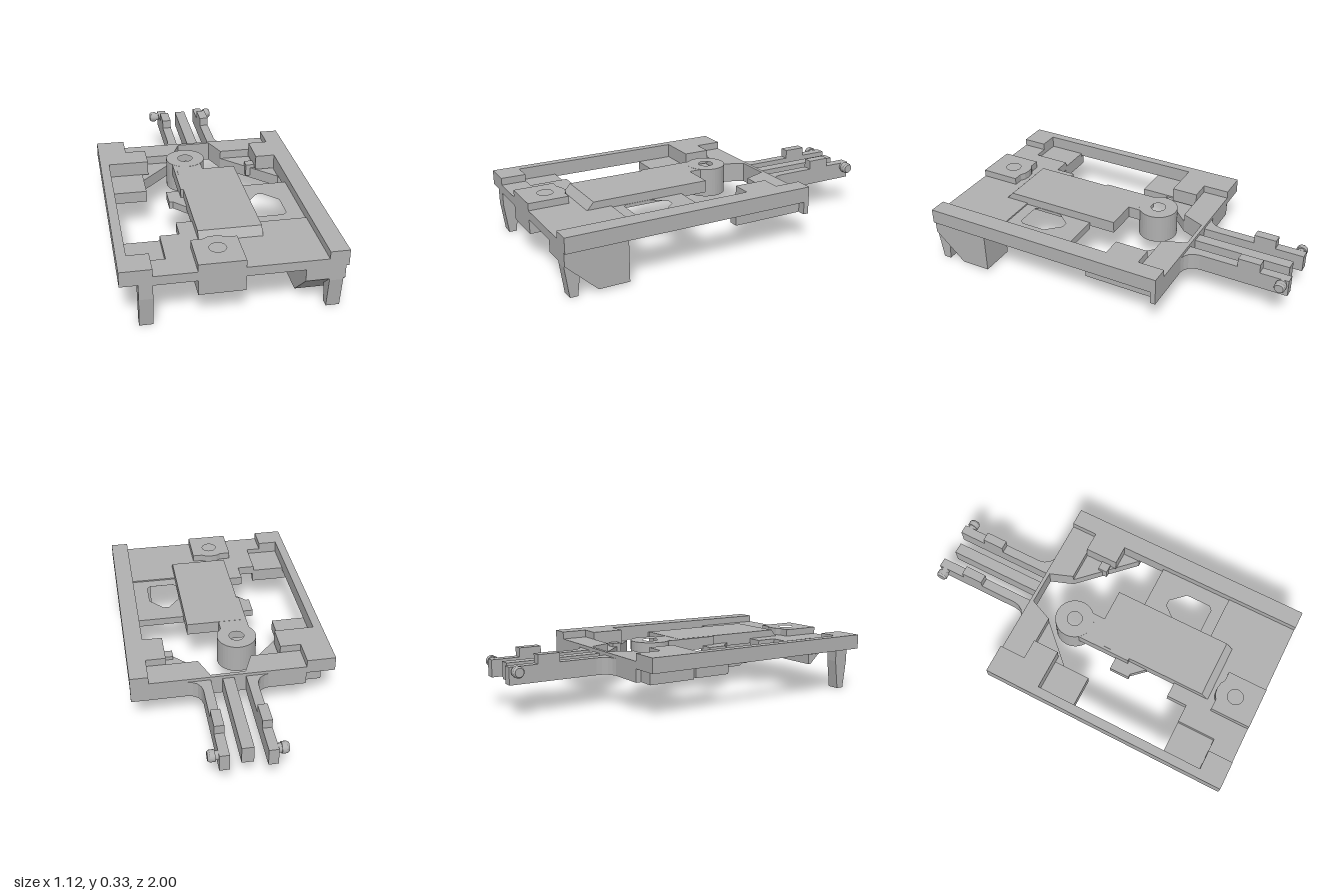
import * as THREE from 'three';

export function createModel() {
  const model = new THREE.Group();
  const grey = new THREE.MeshStandardMaterial({ color: 0xb0b0b0 });
  grey.name = 'plain grey';

  function add(name, geometry) {
    const mesh = new THREE.Mesh(geometry, grey);
    mesh.name = name;
    model.add(mesh);
    return mesh;
  }
  const box = (name, x0, x1, y0, y1, z0, z1) =>
    add(name, new THREE.BoxGeometry(x1 - x0, y1 - y0, z1 - z0)
      .translate((x0 + x1) / 2, (y0 + y1) / 2, (z0 + z1) / 2));
  const flat = pts => pts.map(([x, z]) => new THREE.Vector2(x, -z));
  const circle = (cx, cz, r) => Array.from({ length: 40 }, (_, i) => {
    const a = i / 40 * Math.PI * 2;
    return [cx + r * Math.cos(a), cz + r * Math.sin(a)];
  });
  // plan outline of (x, z) points raised from y0 to y1
  function slab(name, pts, y0, y1, holes = []) {
    const shape = new THREE.Shape(flat(pts));
    holes.forEach(h => shape.holes.push(new THREE.Path(flat(h))));
    const g = new THREE.ExtrudeGeometry(shape, { depth: y1 - y0, bevelEnabled: false });
    return add(name, g.rotateX(-Math.PI / 2).translate(0, y0, 0));
  }
  // side outline of (z, y) points swept from x0 to x1
  function profile(name, pts, x0, x1) {
    const shape = new THREE.Shape(pts.map(([z, y]) => new THREE.Vector2(-z, y)));
    const g = new THREE.ExtrudeGeometry(shape, { depth: x1 - x0, bevelEnabled: false });
    return add(name, g.rotateY(Math.PI / 2).translate(x0, 0, 0));
  }

  // raised side rails with their rear and front corner blocks
  slab('rightRail', [[-0.56, -0.42], [-0.4, -0.42], [-0.4, -0.27], [-0.285, -0.27], [-0.285, -0.12],
    [-0.51, -0.12], [-0.51, 0.86], [-0.4, 0.86], [-0.4, 1], [-0.56, 1]], 0.248, 0.33);
  slab('leftRail', [[0.46, -0.42], [0.56, -0.42], [0.56, 1], [0.46, 1], [0.46, -0.08],
    [0.35, -0.08], [0.35, -0.27], [0.46, -0.27]], 0.245, 0.33);

  // front floor, open under the tongue and at the corner pocket
  slab('frontFloor', [[-0.4, 1], [-0.4, 0.86], [-0.32, 0.86], [-0.32, 0.645], [-0.22, 0.645],
    [-0.22, 0.53], [-0.135, 0.53], [-0.135, 0.735], [0.195, 0.735], [0.195, 0.595],
    [0.46, 0.595], [0.46, 1]], 0.24, 0.29);
  box('cornerPocket', -0.51, -0.32, 0.238, 0.262, 0.645, 0.86);
  profile('pocketWedge', [[0.645, 0.185], [0.66, 0.185], [0.72, 0.24], [0.645, 0.24]], -0.53, -0.315);
  slab('sideFloor', [[0.195, 0.175], [0.46, 0.175], [0.46, 0.595], [0.195, 0.595]], 0.24, 0.282,
    [[[0.198, 0.37], [0.265, 0.29], [0.3, 0.29], [0.375, 0.37], [0.375, 0.51], [0.355, 0.53],
      [0.215, 0.53], [0.198, 0.51]]]);
  slab('sideTab', [[-0.22, 0.175], [-0.13, 0.175], [-0.13, 0.365], [-0.2, 0.29], [-0.22, 0.29]], 0.24, 0.28);

  // central tongue with sloped tip, neck and ring
  profile('tongue', [[0.02, 0.262], [0.735, 0.262], [0.735, 0.285], [0.695, 0.33], [0.02, 0.33]], -0.135, 0.195);
  slab('neck', [[-0.15, -0.06], [-0.09, -0.06], [-0.04, -0.06], [0.012, -0.06], [0.012, 0.03],
    [-0.13, 0.25], [-0.15, 0.25]], 0.262, 0.329);
  slab('ring', circle(-0.065, -0.13, 0.11), 0.165, 0.33, [circle(-0.065, -0.13, 0.042)]);

  // front boss with a blind hole
  const boss = [[-0.185, 1], [-0.185, 0.775], [-0.125, 0.775], [-0.1, 0.76], [-0.065, 0.755],
    [-0.03, 0.76], [-0.005, 0.775], [0.05, 0.775], [0.05, 1]];
  slab('bossTop', boss, 0.24, 0.33, [circle(-0.065, 0.865, 0.043)]);
  slab('bossBase', boss, 0.16, 0.24);

  // rear cross plate and the lower diagonal braces
  slab('rearPlate', [[-0.4, -0.42], [0.46, -0.42], [0.46, -0.27], [0.175, -0.27], [0.127, -0.4],
    [-0.065, -0.4], [-0.12, -0.27], [-0.4, -0.27]], 0.175, 0.288);
  slab('rightBrace', [[-0.4, -0.27], [-0.12, -0.27], [-0.4, 0.02]], 0.175, 0.24);
  slab('leftBrace', [[0.46, -0.27], [0.46, 0.02], [0.175, -0.27]], 0.175, 0.24);
  box('rightLowerBlock', -0.49, -0.4, 0.175, 0.25, -0.39, -0.12);
  box('rightInnerBlock', -0.51, -0.32, 0.185, 0.25, -0.12, 0.09);
  box('leftLowerBlock', 0.46, 0.515, 0.175, 0.246, -0.42, 0.02);
  box('leftRearFoot', 0.515, 0.56, 0.175, 0.246, -0.42, -0.39);
  box('smallCatch', 0.3, 0.35, 0.19, 0.26, -0.17, -0.115);

  // rear forks with filleted roots, raised steps and pins
  for (const s of [-1, 1]) {
    const mid = 0.0315;
    const root = [[0.148, -0.5], [0.154, -0.47], [0.17, -0.443], [0.195, -0.427], [0.22, -0.42]];
    const outline = [[0.096, -0.4], [0.096, -1], [0.148, -1], ...root, [0.22, -0.4]]
      .map(([x, z]) => [mid + s * x, z]);
    slab('forkArm', outline, 0.175, 0.27);
    const step = [mid + s * 0.096, mid + s * 0.148].sort((a, b) => a - b);
    box('forkStep', ...step, 0.27, 0.32, -0.84, -0.715);
    const pin = new THREE.LatheGeometry([[0, 0], [0.024, 0], [0.024, 0.018], [0.031, 0.018],
      [0.031, 0.045], [0.024, 0.056], [0, 0.056]].map(p => new THREE.Vector2(...p)), 24).toNonIndexed();
    pin.computeVertexNormals();
    add('forkPin', pin.rotateZ(-s * Math.PI / 2).translate(mid + s * 0.147, 0.247, -0.965));
  }
  box('centreBar', 0, 0.063, 0.175, 0.27, -0.965, -0.41);

  // front legs: tapered pegs, and one with a chamfered body
  const peg = [[0.935, 0], [0.978, 0], [1, 0.165], [1, 0.25], [0.915, 0.25], [0.915, 0.165]];
  profile('rightPeg', peg, -0.47, -0.4);
  profile('leftPeg', peg, 0.465, 0.535);
  profile('legBody', [[0.66, 0.245], [0.66, 0.015], [0.83, 0.015], [1, 0.175], [1, 0.245]], 0.345, 0.545);

  return model;
}
